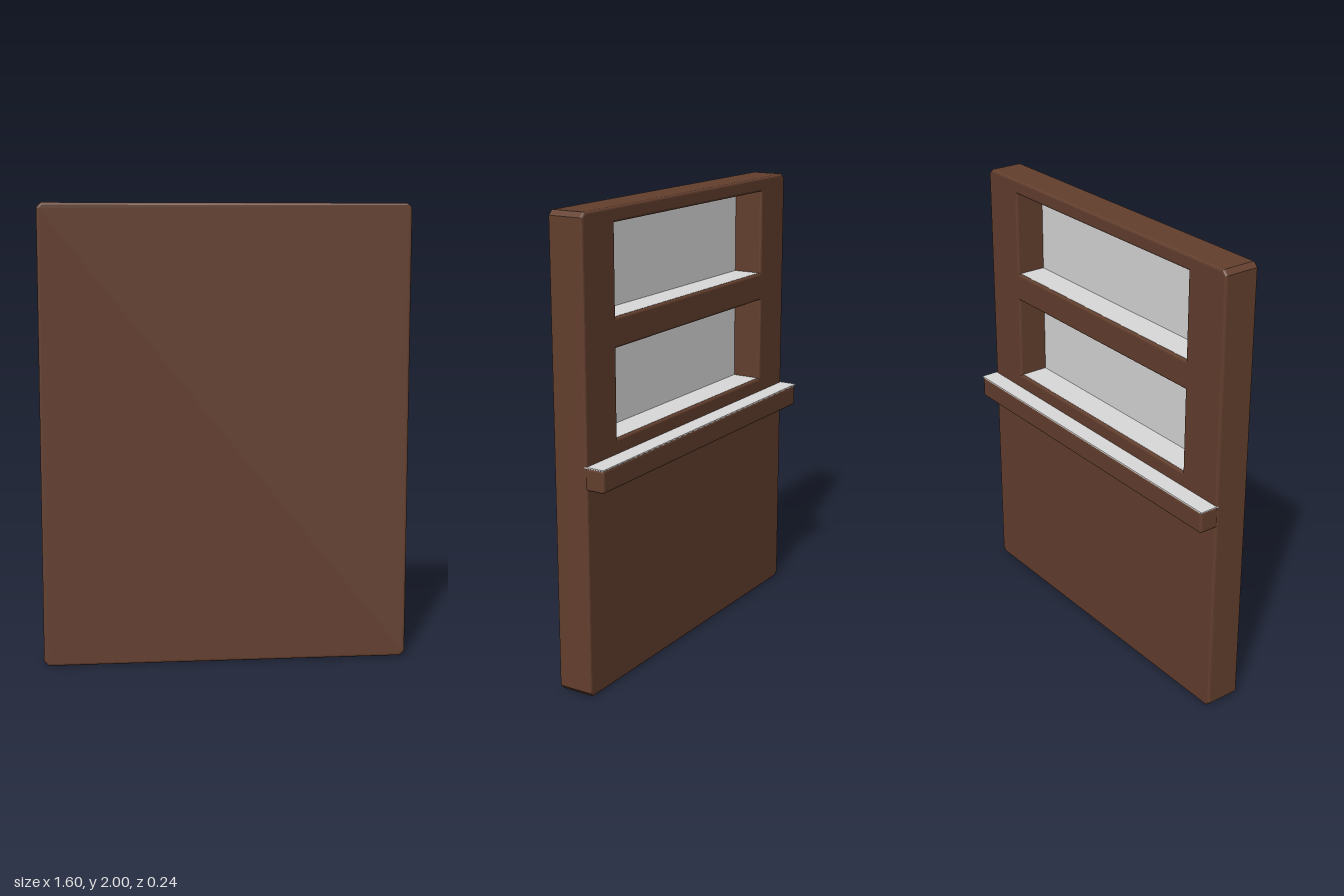
import * as THREE from 'three';
import { RoundedBoxGeometry } from 'three/addons/geometries/RoundedBoxGeometry.js';

const wood = new THREE.MeshStandardMaterial({ color: 0x633f2e });
wood.name = 'brown wood';
const pale = new THREE.MeshStandardMaterial({ color: 0xdadada });
pale.name = 'pale grey lining';

const W = 0.8, H = 2, BEVEL = 0.01, CUT = 0.02;
const BACK = -0.04, FRONT = 0.12, NICHE_END = 0.1;
const NICHE_X = 0.585;
const NICHES = [{ name: 'lower', y0: 1.0625, y1: 1.4375 }, { name: 'upper', y0: 1.5625, y1: 1.9375 }];

function add(parent, name, geometry, material, x = 0, y = 0, z = 0) {
  const mesh = new THREE.Mesh(geometry, material);
  mesh.name = name;
  mesh.position.set(x, y, z);
  parent.add(mesh);
  return mesh;
}

// Tall rectangle with small clipped corners
function panelShape() {
  return new THREE.Shape([
    [-W + CUT, 0], [W - CUT, 0], [W, CUT], [W, H - CUT],
    [W - CUT, H], [-W + CUT, H], [-W, H - CUT], [-W, CUT],
  ].map(([x, y]) => new THREE.Vector2(x, y)));
}

// Softened slab between two depths
function slab(shape, z0, z1) {
  const g = new THREE.ExtrudeGeometry(shape, {
    depth: z1 - z0 - 2 * BEVEL, bevelEnabled: true, bevelThickness: BEVEL,
    bevelSize: BEVEL, bevelOffset: -BEVEL, bevelSegments: 3,
  });
  return g.translate(0, 0, z0 + BEVEL);
}

export function createModel() {
  const group = new THREE.Group();
  group.name = 'wallPanelWithNiches';

  // Main frame with two niche openings, closed by the front panel
  const frame = panelShape();
  for (const { y0, y1 } of NICHES) {
    frame.holes.push(new THREE.Path([
      new THREE.Vector2(-NICHE_X, y0), new THREE.Vector2(-NICHE_X, y1),
      new THREE.Vector2(NICHE_X, y1), new THREE.Vector2(NICHE_X, y0),
    ]));
  }
  add(group, 'frame', slab(frame, BACK, FRONT - 0.002), wood);
  add(group, 'frontPanel', slab(panelShape(), NICHE_END, FRONT + 0.0001), wood);

  // Pale lining on the rear wall and floor of each niche
  for (const { name, y0, y1 } of NICHES) {
    const wallH = y1 - y0 + 0.02;
    add(group, name + 'NicheWall', new THREE.BoxGeometry(2 * NICHE_X + 0.02, wallH, 0.004),
      pale, 0, (y0 + y1) / 2, NICHE_END - 0.002);
    const floorD = NICHE_END - BACK - 0.012;
    add(group, name + 'NicheFloor', new THREE.BoxGeometry(2 * NICHE_X + 0.02, 0.004, floorD),
      pale, 0, y0 - BEVEL + 0.009, BACK + 0.012 + floorD / 2);
  }

  // Ledge across the back with its pale top
  add(group, 'shelf', new RoundedBoxGeometry(2 * W - 0.004, 0.098, 0.11, 3, 0.012),
    wood, 0, 0.948, -0.064);
  add(group, 'shelfTop', new THREE.BoxGeometry(2 * W, 0.006, 0.09), pale, 0, 0.997, -0.075);

  return group;
}
